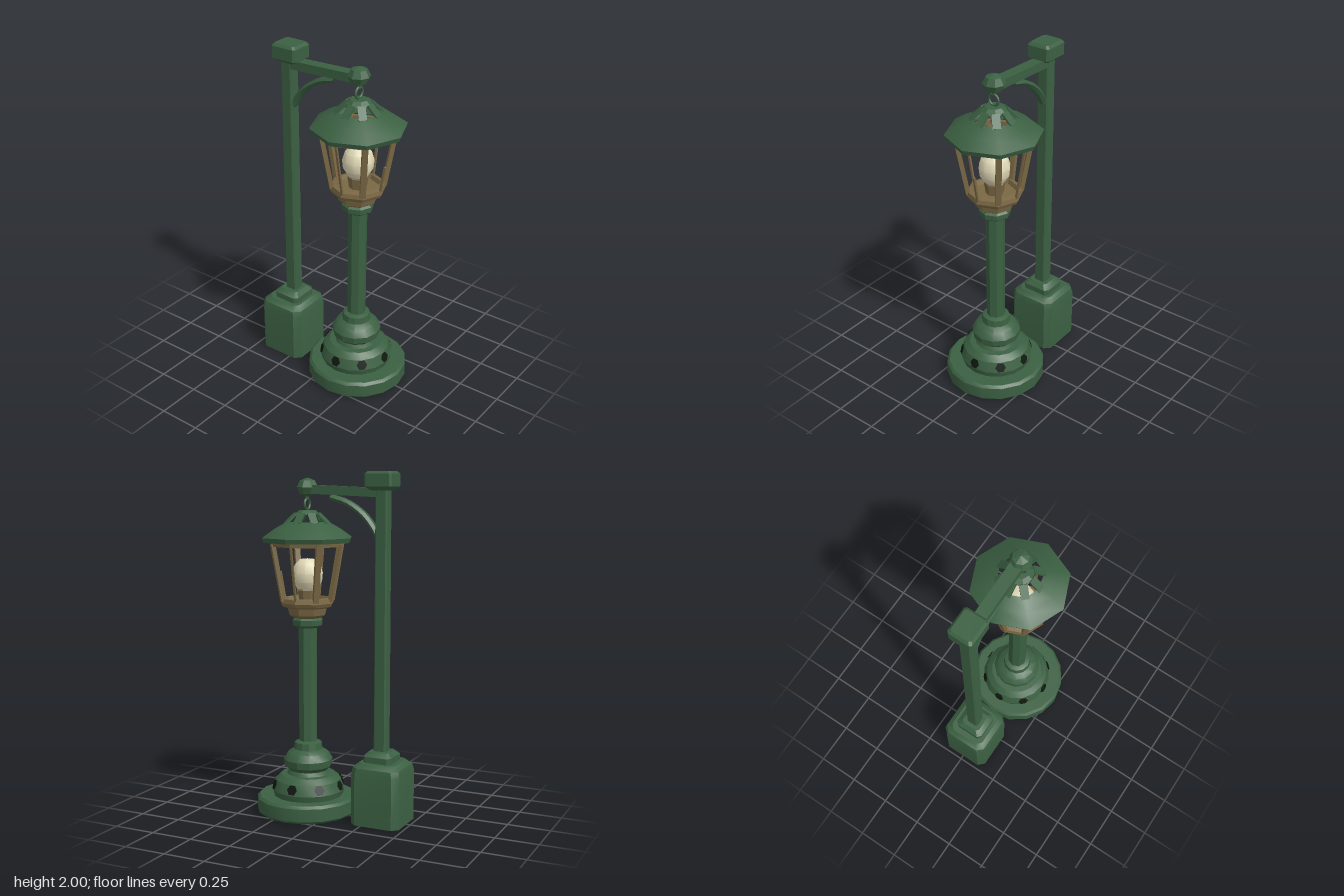
import * as THREE from 'three';
import { toCreasedNormals } from 'three/addons/utils/BufferGeometryUtils.js';

const paint = (name, color, side = THREE.FrontSide) => {
  const m = new THREE.MeshStandardMaterial({ color, side });
  m.name = name;
  return m;
};

export function createModel() {
  const green = paint('green iron', 0x3b6042);
  const greenShell = paint('green iron', 0x3b6042, THREE.DoubleSide);
  const brass = paint('aged brass', 0x7a6844, THREE.DoubleSide);
  const cream = paint('cream glass', 0xe0d8b6);
  const dark = paint('dark opening', 0x10180f, THREE.DoubleSide);

  const model = new THREE.Group();
  const lamp = new THREE.Group();
  lamp.name = 'streetLamp';
  lamp.position.z = 0.155;
  const hanger = new THREE.Group();
  hanger.name = 'hangingPost';
  model.add(lamp, hanger);

  const add = (parent, name, geo, mat, crease = 0.5) => {
    const mesh = new THREE.Mesh(toCreasedNormals(geo, crease), mat);
    mesh.name = name;
    parent.add(mesh);
    return mesh;
  };
  // Turned part from [radius, height] pairs, listed upwards
  const turned = (name, pts, sides, mat, crease) =>
    add(lamp, name, new THREE.LatheGeometry(pts.map(p => new THREE.Vector2(...p)), sides), mat, crease);
  // Rectangular bar between two points
  const bar = (parent, name, a, b, w, d, mat, angle = 0) => {
    const holder = new THREE.Group();
    const mesh = add(holder, name, new THREE.BoxGeometry(w, a.distanceTo(b), d), mat);
    mesh.position.addVectors(a, b).multiplyScalar(0.5);
    mesh.quaternion.setFromUnitVectors(new THREE.Vector3(0, 1, 0), b.clone().sub(a).normalize());
    holder.name = name;
    holder.rotation.y = angle;
    parent.add(holder);
  };
  // Closed loft through corner-cut rectangles: [y, half width, half depth, cut]
  const block = (parent, name, levels, z, mat) => {
    const pos = [], idx = [], n = 8;
    for (const [y, w, d, c] of levels) {
      for (const [x, zz] of [[w - c, d], [w, d - c], [w, c - d], [w - c, -d],
        [c - w, -d], [-w, c - d], [-w, d - c], [c - w, d]]) pos.push(x, y, zz);
    }
    for (let r = 0; r < levels.length - 1; r++) {
      for (let i = 0; i < n; i++) {
        const a = r * n + i, b = r * n + (i + 1) % n;
        idx.push(a, b, b + n, a, b + n, a + n);
      }
    }
    const top = (levels.length - 1) * n;
    for (let i = 1; i < n - 1; i++) idx.push(0, i + 1, i, top, top + i, top + i + 1);
    const g = new THREE.BufferGeometry();
    g.setAttribute('position', new THREE.Float32BufferAttribute(pos, 3));
    g.setIndex(idx);
    add(parent, name, g, mat).position.z = z;
  };
  const V = (x, y, z) => new THREE.Vector3(x, y, z);

  // Round plinth
  turned('plinth', [[0, 0], [0.28, 0], [0.295, 0.015], [0.295, 0.09], [0.28, 0.105], [0, 0.105]], 16, green)
    .position.z = 0.01;
  // Pierced drum and bulging foot
  turned('drum', [[0, 0.1], [0.205, 0.1], [0.215, 0.14], [0.195, 0.2], [0.16, 0.23], [0, 0.24]], 16, green);
  turned('foot', [[0, 0.22], [0.13, 0.225], [0.115, 0.255], [0.14, 0.28], [0.145, 0.32], [0.12, 0.36],
    [0.085, 0.38], [0.08, 0.42], [0.055, 0.43], [0, 0.43]], 12, green);
  for (let i = 0; i < 8; i++) {
    const holder = new THREE.Group();
    holder.name = 'drumOpening';
    holder.rotation.y = i * Math.PI / 4;
    const hole = add(holder, 'drumOpening', new THREE.CircleGeometry(0.032, 6), dark);
    hole.position.set(0, 0.175, 0.209);
    hole.rotation.x = -0.32;
    lamp.add(holder);
  }
  // Column and collar
  turned('column', [[0, 0.4], [0.055, 0.4], [0.055, 1.0], [0.057, 1.12], [0, 1.12]], 8, green);
  turned('collar', [[0, 1.1], [0.07, 1.105], [0.09, 1.12], [0.092, 1.15], [0.07, 1.17], [0, 1.17]], 8, green);

  // Lantern bowl and candle cup
  turned('lanternBowl', [[0, 1.15], [0.07, 1.155], [0.11, 1.18], [0.12, 1.22], [0.15, 1.23], [0.16, 1.25],
    [0.155, 1.275], [0.13, 1.28], [0.12, 1.255], [0, 1.255]], 8, brass);
  turned('lampCup', [[0.05, 1.25], [0.06, 1.32], [0.05, 1.335], [0, 1.335]], 8, brass);
  turned('bulb', [[0, 1.32], [0.06, 1.33], [0.085, 1.37], [0.09, 1.42], [0.075, 1.47], [0.045, 1.5],
    [0, 1.505]], 10, cream, 0.7);
  // Lantern frame: strong corner bars, slender ones between
  for (let i = 0; i < 8; i++) {
    const thick = i % 2 === 1 || i === 4;
    const w = thick ? 0.032 : 0.012;
    const t = i === 0 ? 0.5 : 1;
    bar(lamp, thick ? 'cornerBar' : 'slenderBar', V(0, 1.26, 0.148),
      V(0, 1.26 + 0.33 * t, 0.148 + 0.06 * t), w, thick ? 0.025 : 0.012, brass, i * Math.PI / 4);
  }
  turned('frameRing', [[0.195, 1.575], [0.215, 1.575], [0.22, 1.602], [0.195, 1.602], [0.195, 1.575]], 8, brass);

  // Roof shell with a pierced crown
  turned('roof', [[0.225, 1.605], [0.262, 1.598], [0.272, 1.625], [0.2, 1.675], [0.125, 1.715]], 8, greenShell);
  turned('roofCap', [[0.08, 1.755], [0.05, 1.78], [0, 1.782]], 8, greenShell);
  for (let i = 0; i < 8; i++)
    bar(lamp, 'crownRib', V(0, 1.705, 0.13), V(0, 1.762, 0.07), 0.045, 0.012, green, i * Math.PI / 4);

  // Hook between roof and arm
  const hook = add(lamp, 'hook', new THREE.TorusGeometry(0.032, 0.007, 6, 12), green, 1);
  hook.position.y = 1.815;
  bar(lamp, 'hookStem', V(0, 1.84, 0), V(0, 1.89, 0), 0.014, 0.014, green);

  // Heavy square foot, post and cap
  block(hanger, 'postFoot', [[0, 0.148, 0.148, 0.035], [0.3, 0.148, 0.148, 0.035],
    [0.335, 0.14, 0.14, 0.035], [0.36, 0.112, 0.112, 0.03]], -0.327, green);
  block(hanger, 'postCollar', [[0.35, 0.09, 0.085, 0.02], [0.395, 0.09, 0.085, 0.02],
    [0.42, 0.06, 0.06, 0.015]], -0.32, green);
  block(hanger, 'post', [[0.4, 0.037, 0.037, 0.008], [1.92, 0.036, 0.036, 0.008]], -0.318, green);
  block(hanger, 'postCap', [[1.895, 0.05, 0.055, 0.012], [1.915, 0.073, 0.082, 0.012],
    [1.985, 0.073, 0.082, 0.012], [2.0, 0.06, 0.068, 0.012]], -0.31, green);

  // Arm, end knob and curved brace
  bar(hanger, 'arm', V(0, 1.882, -0.3), V(0, 1.9, 0.15), 0.068, 0.05, green);
  const knob = add(hanger, 'armKnob', new THREE.SphereGeometry(0.064, 8, 4), green, 0.3);
  knob.position.set(0, 1.91, 0.153);
  knob.scale.y = 0.85;
  const curve = new THREE.CatmullRomCurve3([V(0, 1.855, 0.0), V(0, 1.825, -0.1), V(0, 1.76, -0.2),
    V(0, 1.69, -0.26), V(0, 1.635, -0.292)]);
  const brace = add(hanger, 'brace', new THREE.TubeGeometry(curve, 10, 0.019, 6), green, 0.4);
  brace.scale.x = 1.5;
  return model;
}
